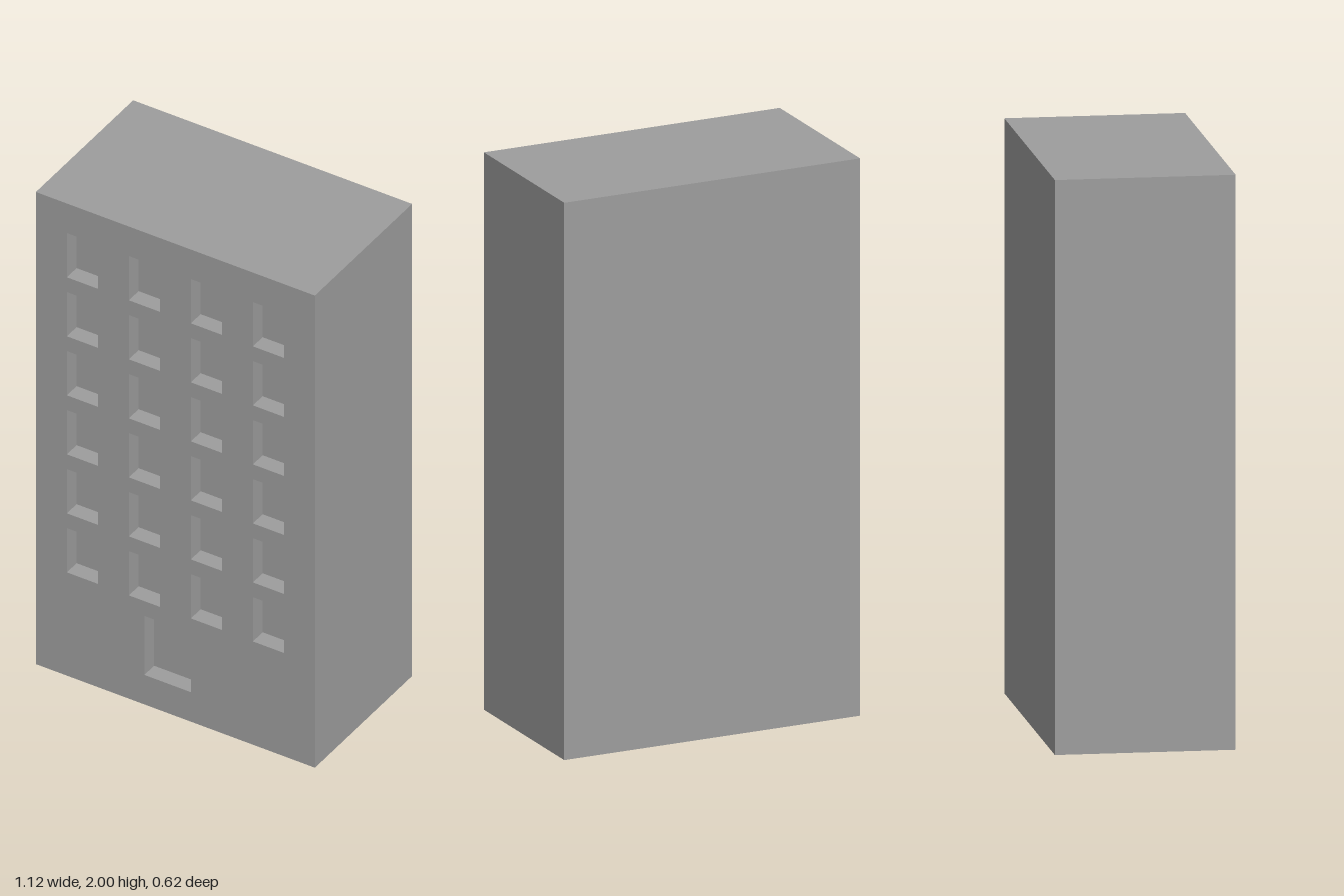
import * as THREE from 'three';

const U = 1 / 16; // modelling unit
const W = 18 * U, H = 32 * U, D = 10 * U, RECESS = U;

const material = new THREE.MeshStandardMaterial({ color: 0x9d9d9d });

// Box without its +z face; inward turns the faces to look inside.
function openBox(w, h, d, inward = false) {
  const geo = new THREE.BoxGeometry(w, h, d);
  const index = Array.from(geo.index.array);
  index.splice(24, 6);
  if (inward) {
    index.reverse();
    const n = geo.attributes.normal;
    for (let i = 0; i < n.count; i++) n.setXYZ(i, -n.getX(i), -n.getY(i), -n.getZ(i));
  }
  geo.clearGroups();
  geo.setIndex(index);
  return geo;
}

function addMesh(parent, name, geo, x, y, z) {
  const mesh = new THREE.Mesh(geo, material);
  mesh.name = name;
  mesh.position.set(x, y, z);
  parent.add(mesh);
}

function rectPoints(x, y, w, h) {
  return [[x, y], [x + w, y], [x + w, y + h], [x, y + h]].map(([a, b]) => new THREE.Vector2(a, b));
}

export function createModel() {
  const building = new THREE.Group();
  building.name = 'apartmentBlock';

  // Side walls, back, roof and base
  addMesh(building, 'walls', openBox(W, H, D), 0, H / 2, 0);

  // Openings: a door and six floors of four windows
  const openings = [{ name: 'doorRecess', x: -2 * U, y: 2 * U, w: 3 * U, h: 4 * U }];
  for (let floor = 0; floor < 6; floor++) {
    for (let col = 0; col < 4; col++) {
      openings.push({
        name: 'windowRecess',
        x: (-7 + 4 * col) * U, y: (7 + 4 * floor) * U, w: 2 * U, h: 3 * U,
      });
    }
  }

  // Front wall pierced by the openings, each backed by a shallow recess
  const front = new THREE.Shape(rectPoints(-W / 2, 0, W, H));
  for (const { name, x, y, w, h } of openings) {
    front.holes.push(new THREE.Path(rectPoints(x, y, w, h)));
    addMesh(building, name, openBox(w, h, RECESS, true), x + w / 2, y + h / 2, D / 2 - RECESS / 2);
  }
  addMesh(building, 'frontWall', new THREE.ShapeGeometry(front), 0, 0, D / 2);

  return building;
}
